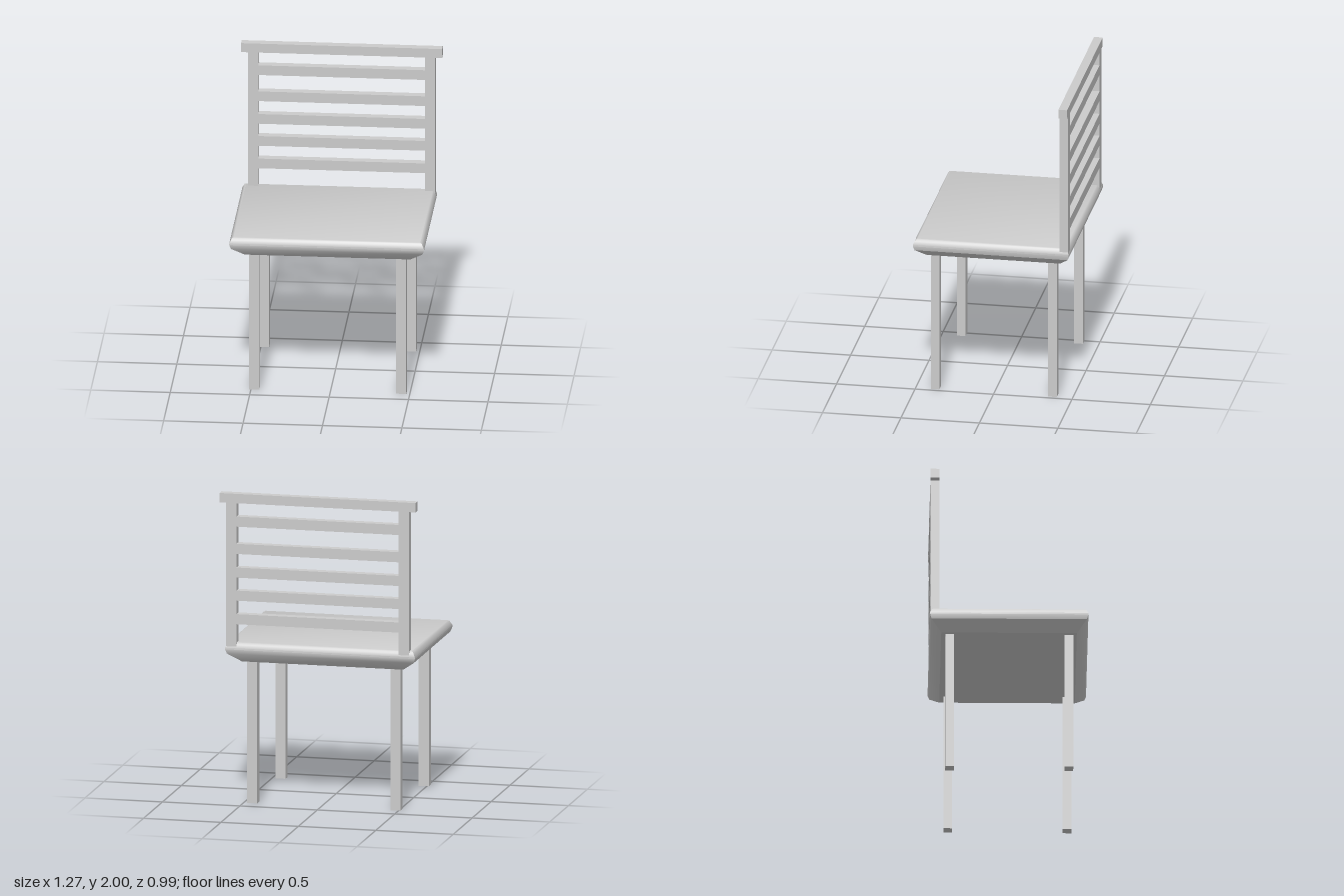
import * as THREE from 'three';
import { toCreasedNormals } from 'three/addons/utils/BufferGeometryUtils.js';

const material = new THREE.MeshStandardMaterial({ color: 0xcccccc });

// Box given by its centre and size
function bar(name, parent, [x, y, z], [w, h, d]) {
  const mesh = new THREE.Mesh(new THREE.BoxGeometry(w, h, d), material);
  mesh.name = name;
  mesh.position.set(x, y, z);
  parent.add(mesh);
}

// Stack of rectangular rings, [inset x, inset z, height] from bottom to top, capped at both ends
function seatGeometry(halfW, halfD, rings) {
  const corners = [[-1, 1], [1, 1], [1, -1], [-1, -1]];
  const positions = [];
  const index = [];
  for (const [ix, iz, y] of rings) {
    for (const [sx, sz] of corners) positions.push(sx * (halfW - ix), y, sz * (halfD - iz));
  }
  for (let r = 0; r < rings.length - 1; r++) {
    for (let i = 0; i < 4; i++) {
      const a = r * 4 + i, b = r * 4 + (i + 1) % 4;
      index.push(a, b, b + 4, a, b + 4, a + 4);
    }
  }
  const t = (rings.length - 1) * 4;
  index.push(t, t + 1, t + 2, t, t + 2, t + 3, 0, 2, 1, 0, 3, 2);
  const geometry = new THREE.BufferGeometry();
  geometry.setAttribute('position', new THREE.Float32BufferAttribute(positions, 3));
  geometry.setIndex(index);
  return toCreasedNormals(geometry, 0.57);
}

export function createModel() {
  const chair = new THREE.Group();
  chair.name = 'chair';

  // Seat with a rounded rim and a chamfered underside
  const seat = new THREE.Mesh(seatGeometry(0.613, 0.497, [
    [0.092, 0.072, 0.912],
    [0.01, 0.01, 0.971],
    [0, 0, 1.0],
    [0, 0, 1.01],
    [0.01, 0.01, 1.03],
    [0.016, 0.016, 1.04],
    [0.025, 0.025, 1.045],
  ]), material);
  seat.name = 'seat';
  seat.position.x = -0.016;
  chair.add(seat);

  // Four square legs
  const legs = new THREE.Group();
  legs.name = 'legs';
  for (const x of [-0.48, 0.445]) {
    for (const z of [0.376, -0.372]) {
      bar(z > 0 ? 'frontLeg' : 'backLeg', legs, [x, 0.458, z], [0.065, 0.916, 0.055]);
    }
  }
  chair.add(legs);

  // Backrest: two posts, five slats and an overhanging top rail
  const back = new THREE.Group();
  back.name = 'backrest';
  const z = -0.465, depth = 0.055;
  for (const side of [-1, 1]) {
    bar('backPost', back, [side * 0.557, 1.47, z], [0.066, 0.94, depth]);
  }
  for (const y of [1.196, 1.347, 1.495, 1.647, 1.822]) {
    bar('backSlat', back, [0, y, z], [1.05, 0.065, depth]);
  }
  bar('topRail', back, [0, 1.97, z], [1.266, 0.06, depth]);
  chair.add(back);

  return chair;
}
